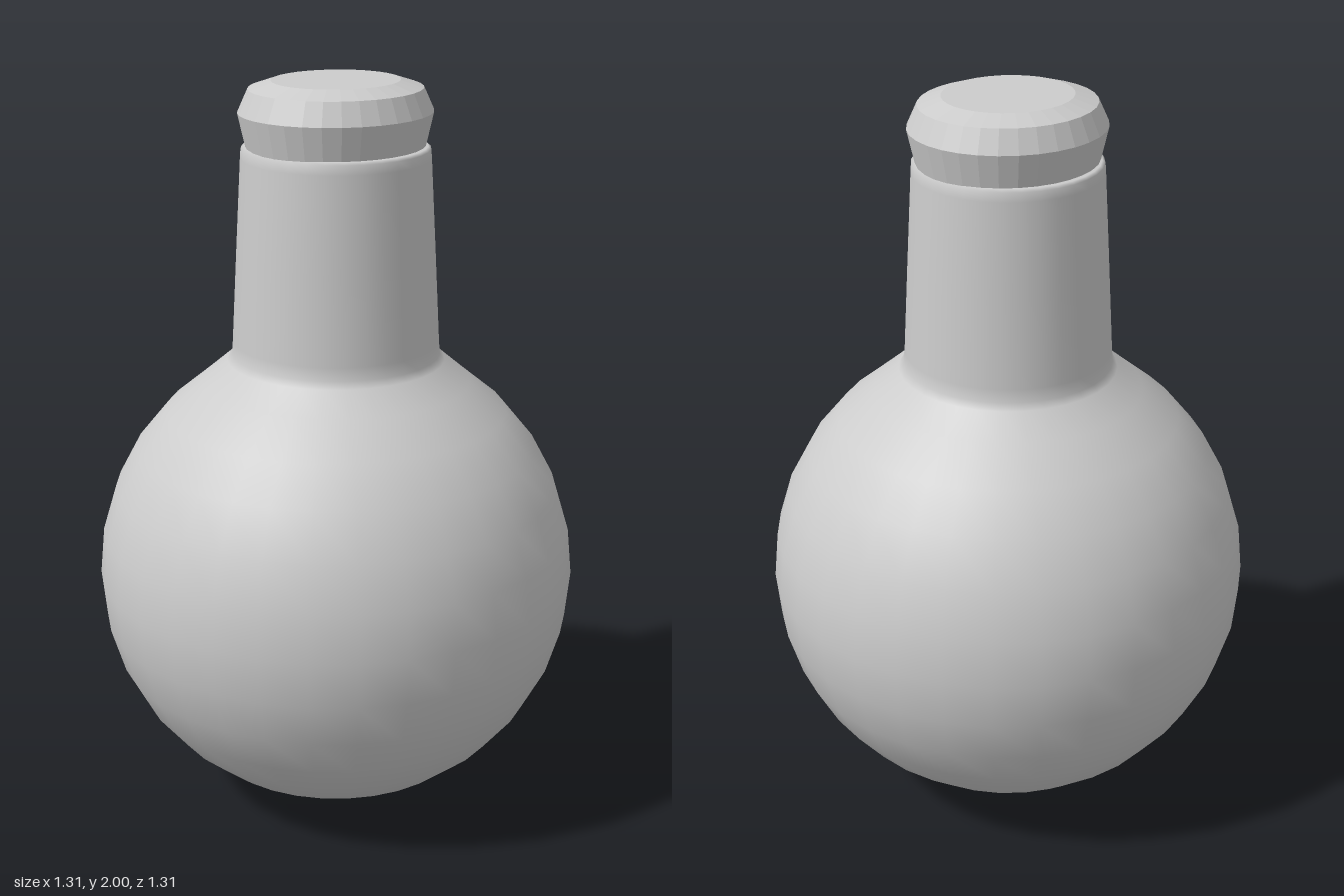
import * as THREE from 'three';

export function createModel() {
  const group = new THREE.Group();
  const grey = new THREE.MeshStandardMaterial({ color: 0xcccccc });
  grey.name = 'light grey';
  const SIDES = 32;

  const lathe = (pairs) =>
    new THREE.LatheGeometry(pairs.map(([r, y]) => new THREE.Vector2(r, y)), SIDES);
  const add = (name, geometry) => {
    const mesh = new THREE.Mesh(geometry, grey);
    mesh.name = name;
    group.add(mesh);
    return mesh;
  };

  // Round bulb running up through the shoulder into a tapering neck
  const radius = 0.653, centre = 0.655, profile = [];
  for (let i = 0; i <= 13; i++) {
    const a = (i / 16) * Math.PI;
    profile.push([radius * Math.sin(a), centre - radius * Math.cos(a)]);
  }
  profile.push(
    [0.293, 1.257], [0.28, 1.275], [0.277, 1.31],
    [0.264, 1.55], [0.25, 1.8], [0.248, 1.825], [0.24, 1.832], [0.2, 1.832]
  );
  add('flaskBody', lathe(profile));

  // Faceted stopper, slightly oval, with a bevelled top
  const stopper = lathe([
    [0, 1.7], [0.2, 1.7], [0.243, 1.83], [0.264, 1.92], [0.236, 1.98], [0.174, 2], [0, 2],
  ]).toNonIndexed();
  stopper.scale(1, 1, 0.94);
  stopper.computeVertexNormals();
  add('stopper', stopper);

  return group;
}
